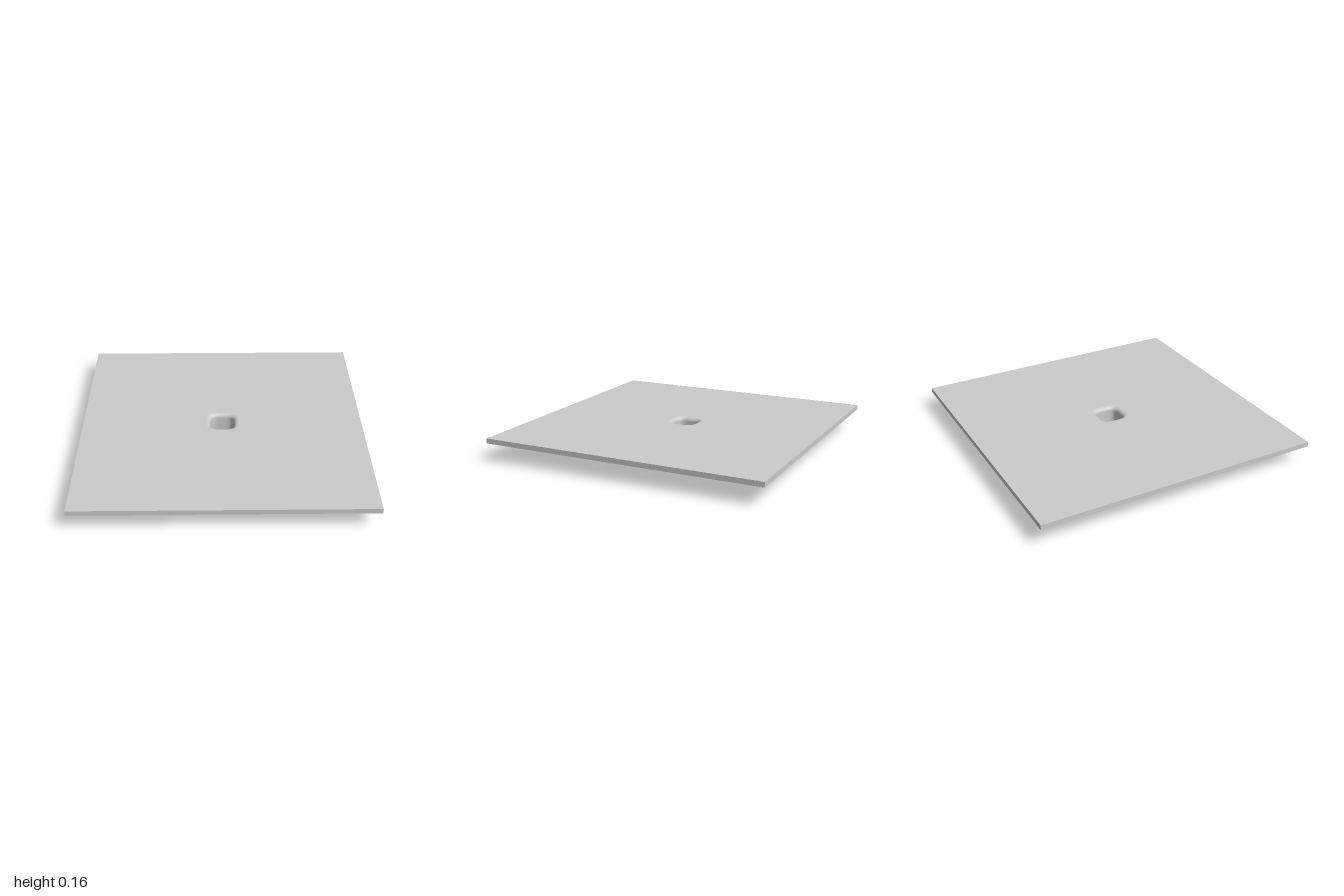
import * as THREE from 'three';

const HALF = 1, TOP = 0.16, SKIRT = 0.125, R = 0.085, LIP = 0.03, SEG = 64;
const material = new THREE.MeshStandardMaterial({ color: 0xcccccc, side: THREE.DoubleSide });

// Rounded-square outline: a superellipse of the given half width
function outline(half, power = 3.6) {
  const points = [];
  for (let i = 0; i < SEG; i++) {
    const a = (i / SEG) * Math.PI * 2, c = Math.cos(a), s = Math.sin(a);
    const r = half / Math.pow(Math.abs(c) ** power + Math.abs(s) ** power, 1 / power);
    points.push(new THREE.Vector2(r * c, r * s));
  }
  return points;
}

// Smooth open wall through rounded-square rings, given as [half width, y]
function loft(rings) {
  const pos = [], index = [];
  rings.forEach(([half, y], k) => {
    outline(half).forEach((p) => pos.push(p.x, y, -p.y));
    if (k === 0) return;
    for (let i = 0; i < SEG; i++) {
      const j = (i + 1) % SEG, a = (k - 1) * SEG, b = k * SEG;
      index.push(a + i, b + i, b + j, a + i, b + j, a + j);
    }
  });
  const g = new THREE.BufferGeometry();
  g.setAttribute('position', new THREE.Float32BufferAttribute(pos, 3));
  g.setIndex(index);
  g.computeVertexNormals();
  return g;
}

export function createModel() {
  const group = new THREE.Group();
  const add = (name, geometry) => {
    const mesh = new THREE.Mesh(geometry, material);
    mesh.name = name;
    group.add(mesh);
    return mesh;
  };

  // Flat sheet with the drain opening
  const sheet = new THREE.Shape([[-1, -1], [1, -1], [1, 1], [-1, 1]]
    .map(([x, y]) => new THREE.Vector2(x * HALF, y * HALF)));
  sheet.holes.push(new THREE.Path(outline(R + LIP).reverse()));
  add('sheet', new THREE.ShapeGeometry(sheet).rotateX(-Math.PI / 2).translate(0, TOP, 0));

  // Folded-down skirt on the four edges, open underneath
  for (let i = 0; i < 4; i++) {
    const side = new THREE.PlaneGeometry(2 * HALF, TOP - SKIRT);
    side.translate(0, (TOP + SKIRT) / 2, HALF).rotateY((i * Math.PI) / 2);
    add('skirt', side);
  }

  // Well: rounded lip running into a straight wall
  const rings = [];
  for (let i = 0; i <= 8; i++) {
    const a = (i / 8) * Math.PI / 2;
    rings.push([R + LIP * (1 - Math.sin(a)), TOP - LIP * (1 - Math.cos(a))]);
  }
  rings.push([R, 0.06], [R, 0]);
  add('wellWall', loft(rings));

  // Closed bottom of the well
  add('wellFloor', new THREE.ShapeGeometry(new THREE.Shape(outline(R))).rotateX(-Math.PI / 2));

  return group;
}
